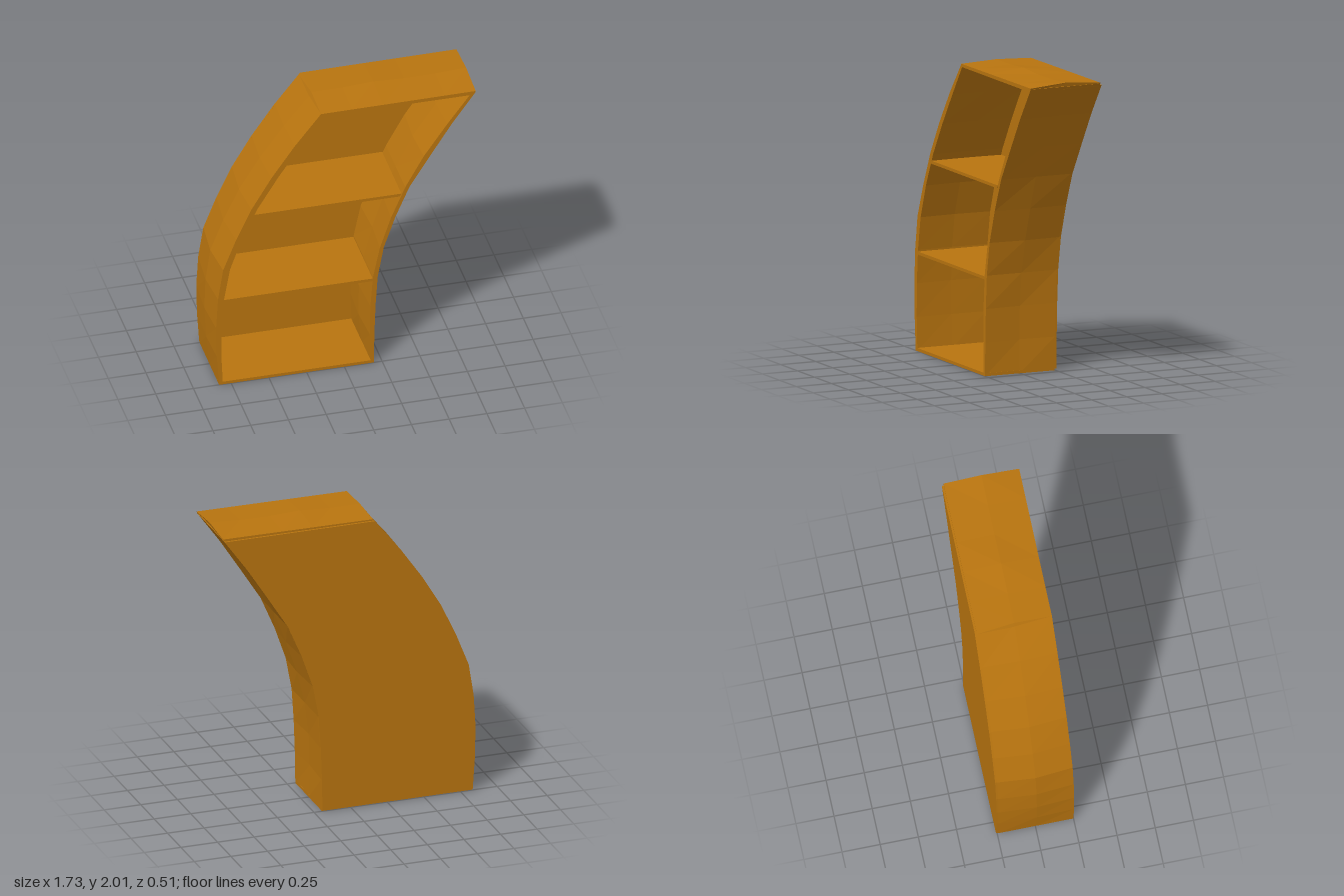
import * as THREE from 'three';

// side outlines as [y, x], outer faces then inner faces
const leftOuter = [[0, -0.83], [0.2, -0.845], [0.45, -0.85], [0.7, -0.835], [0.9, -0.8], [1.07, -0.73], [1.2, -0.675], [1.4, -0.575], [1.69, -0.385], [1.98, -0.155]];
const leftInner = [[0, -0.805], [0.33, -0.82], [0.64, -0.8], [0.95, -0.745], [1.27, -0.605], [1.6, -0.4], [1.98, -0.13]];
const rightOuter = [[0, 0.195], [0.3, 0.2], [0.63, 0.215], [0.9, 0.265], [1.0, 0.3], [1.27, 0.4], [1.5, 0.545], [1.75, 0.705], [1.98, 0.87]];
const rightInner = [[0, 0.175], [0.33, 0.165], [0.64, 0.185], [0.95, 0.25], [1.27, 0.375], [1.6, 0.56], [1.98, 0.845]];

function xAt(curve, y) {
  let i = 1;
  while (i < curve.length - 1 && y > curve[i][0]) i++;
  const [y0, x0] = curve[i - 1], [y1, x1] = curve[i];
  return x0 + (x1 - x0) * (y - y0) / (y1 - y0);
}

export function createModel() {
  const group = new THREE.Group();
  const material = new THREE.MeshStandardMaterial({ color: 0xb8740f, flatShading: true });

  // a slab stretched between two outlines; warp(p, u) adds the hand-hewn unevenness
  function slab(name, from, to, [y0, y1], [z0, z1], segments, warp) {
    const geometry = new THREE.BoxGeometry(1, 1, 1, ...segments).toNonIndexed();
    const pos = geometry.attributes.position;
    const p = new THREE.Vector3();
    for (let i = 0; i < pos.count; i++) {
      p.fromBufferAttribute(pos, i);
      const u = p.x + 0.5;
      p.y = THREE.MathUtils.lerp(y0, y1, p.y + 0.5);
      p.z = THREE.MathUtils.lerp(z0, z1, p.z + 0.5);
      p.x = THREE.MathUtils.lerp(xAt(from, p.y), xAt(to, p.y), u);
      if (warp) warp(p, u);
      pos.setXYZ(i, p.x, p.y, p.z);
    }
    geometry.computeVertexNormals();
    const mesh = new THREE.Mesh(geometry, material);
    mesh.name = name;
    group.add(mesh);
  }

  const depth = [-0.245, 0.25];
  const middle = (z) => Math.max(0, 1 - Math.abs(z) / 0.24);

  // curved sides, bowed a little halfway through their depth
  slab('leftOutlineSide', leftOuter, leftInner, [0, 1.98], depth, [1, 9, 2], (p, u) => {
    p.x -= 0.022 * middle(p.z) * (1 - u * 0.5) * Math.sin(Math.PI * p.y / 1.98);
  });
  slab('rightOutlineSide', rightInner, rightOuter, [0, 1.98], depth, [1, 9, 2], (p) => {
    p.x += 0.014 * middle(p.z) * Math.sin(Math.PI * (p.y - 0.66) / 0.66) * (p.y < 1.98 ? 1 : 0);
  });

  // base and shelves
  slab('base', leftOuter, rightOuter, [0, 0.02], depth, [1, 1, 1]);
  for (const y of [0.63, 1.255]) slab('shelf', leftInner, rightInner, [y, y + 0.02], depth, [1, 1, 1]);

  // uneven top board
  slab('top', leftOuter, rightOuter, [1.96, 1.98], depth, [5, 1, 2], (p, u) => {
    if (p.y > 1.97) p.y += 0.02 * middle(p.z) * Math.abs(Math.cos(Math.PI * (u - 0.4) * 1.7)) + 0.006 * u;
  });

  // back board
  slab('back', leftOuter, rightOuter, [0.01, 1.97], [-0.258, -0.245], [1, 9, 1]);
  return group;
}
